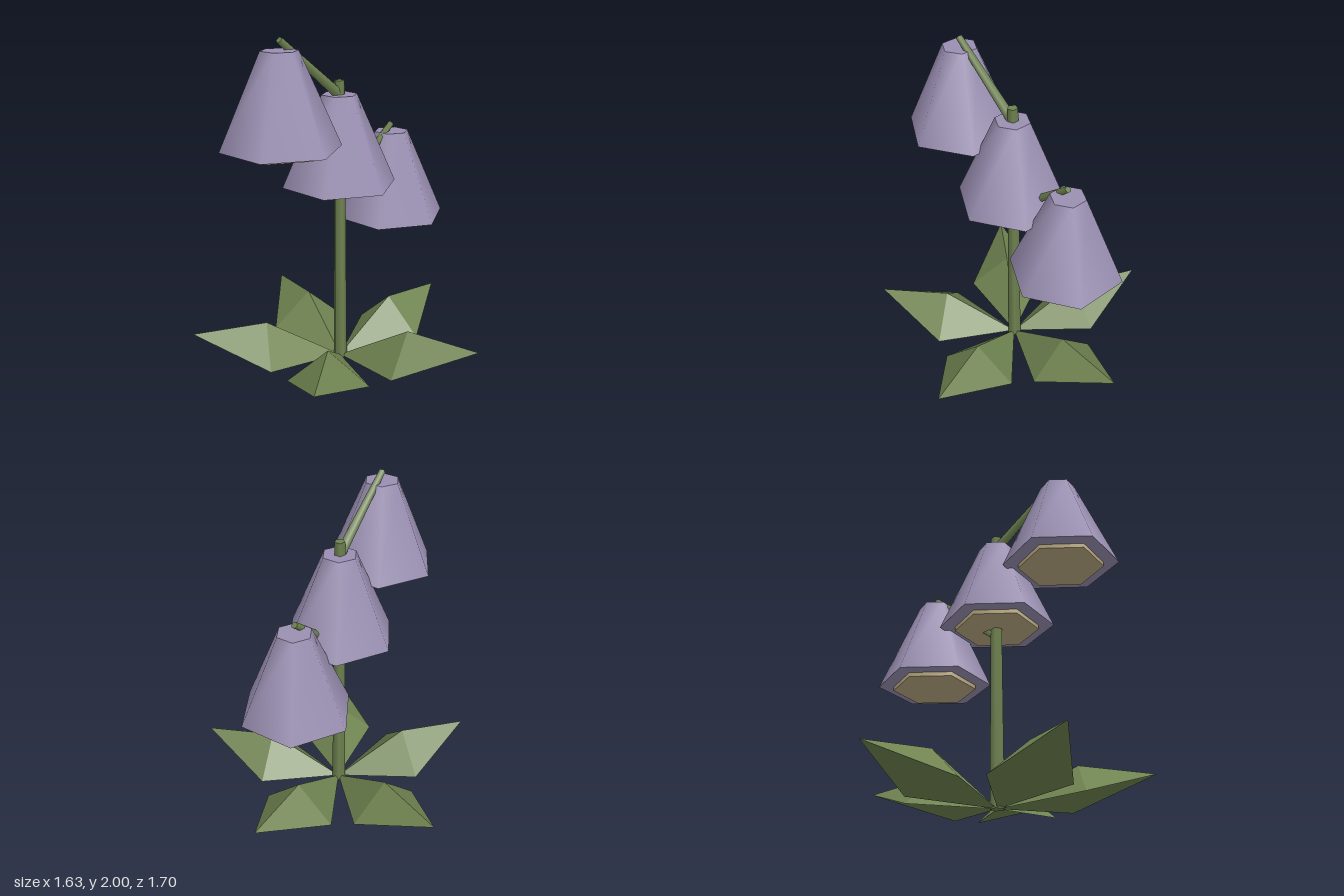
import * as THREE from 'three';

export function createModel() {
  const group = new THREE.Group();
  const material = (name, color) => {
    const m = new THREE.MeshStandardMaterial({ color });
    m.name = name;
    return m;
  };
  const green = material('leaf green', 0x6f8350);
  const leafGreen = green.clone();
  leafGreen.flatShading = true;
  const purple = material('petal purple', 0x9a8fb2);
  const cream = material('pollen cream', 0xbbab82);

  const add = (name, geometry, mat, parent = group) => {
    const mesh = new THREE.Mesh(geometry, mat);
    mesh.name = name;
    parent.add(mesh);
    return mesh;
  };

  // Tapered rod between two points
  const rod = (name, from, to, r0, r1) => {
    const a = new THREE.Vector3(...from), b = new THREE.Vector3(...to);
    const dir = b.clone().sub(a);
    const geo = new THREE.CylinderGeometry(r1, r0, dir.length(), 5);
    geo.rotateY(-Math.PI / 2);
    const mesh = add(name, geo, green);
    mesh.position.copy(a).add(b).multiplyScalar(0.5);
    mesh.quaternion.setFromUnitVectors(new THREE.Vector3(0, 1, 0), dir.normalize());
  };

  const stemX = -0.08;
  rod('stem', [stemX, 0, 0], [stemX, 1.72, 0], 0.043, 0.032);
  rod('upperBranch', [stemX, 1.635, 0], [-0.525, 1.985, 0], 0.031, 0.02);
  rod('lowerBranch', [stemX, 1.04, 0], [0.367, 1.402, 0], 0.028, 0.02);

  // Hanging six-sided bells, each with a pale disc in its mouth
  for (const [name, x, y] of [['upperBell', -0.525, 1.40], ['middleBell', stemX, 1.11], ['lowerBell', 0.37, 0.825]]) {
    const bell = new THREE.Group();
    bell.name = name;
    bell.position.set(x, y, 0);
    add('petals', new THREE.CylinderGeometry(0.105, 0.34, 0.53, 6).translate(0, 0.265, 0), purple, bell);
    add('mouthDisc', new THREE.CylinderGeometry(0.25, 0.25, 0.05, 6), cream, bell);
    group.add(bell);
  }

  // Faceted leaf: base, ridge, tip and two side corners
  const leaf = new THREE.BufferGeometry();
  leaf.setAttribute('position', new THREE.Float32BufferAttribute([
    0, 0.003, 0, 0.45, 0.255, 0, 0.893, 0.213, 0, 0.45, 0.045, -0.24, 0.45, 0.045, 0.24,
  ], 3));
  leaf.setIndex([0, 4, 1, 1, 4, 2, 0, 1, 3, 1, 2, 3, 0, 2, 4, 0, 3, 2]);
  const facetedLeaf = leaf.toNonIndexed();
  facetedLeaf.computeVertexNormals();

  // Rosette of five leaves around the stem
  for (let i = 0; i < 5; i++) {
    const mesh = add('leaf' + (i + 1), facetedLeaf, leafGreen);
    mesh.position.x = stemX;
    mesh.rotation.y = (i * 2 * Math.PI) / 5;
  }

  return group;
}
